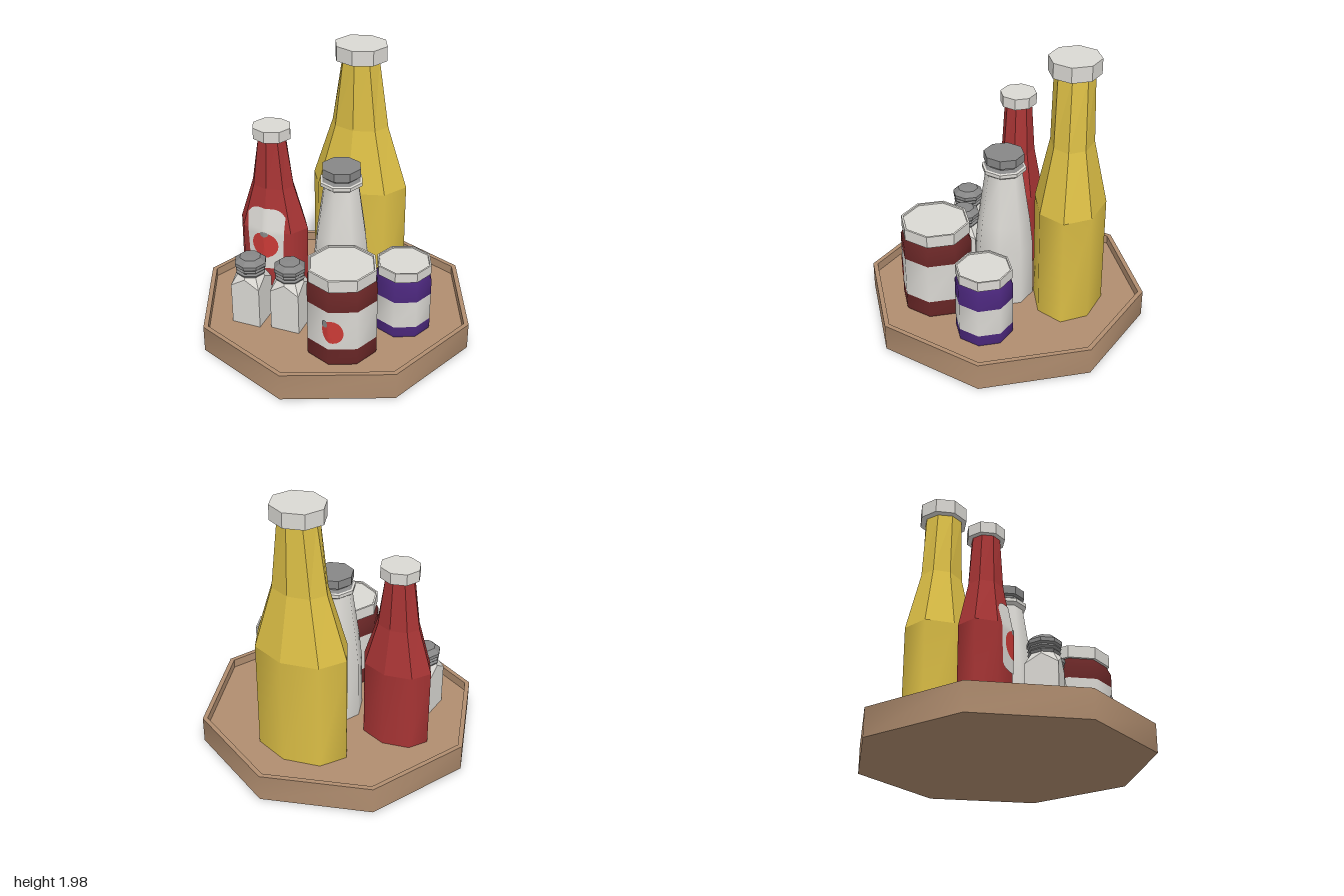
import * as THREE from 'three';

const mat = (name, color) => {
  const m = new THREE.MeshStandardMaterial({ color });
  m.name = name;
  return m;
};

export function createModel() {
  const wood = mat('wood', 0xb08d6f);
  const yellow = mat('mustard yellow', 0xdabd45);
  const red = mat('ketchup red', 0xa63434);
  const white = mat('white', 0xdad8d3);
  const grey = mat('metal grey', 0x878787);
  const darkRed = mat('jam red', 0x682626);
  const purple = mat('grape purple', 0x4b277c);
  const fruitRed = mat('fruit red', 0xc93a36);

  const FLOOR = 0.13;
  const model = new THREE.Group();
  model.name = 'condimentTray';

  const group = (name, x, z) => {
    const g = new THREE.Group();
    g.name = name;
    g.position.set(x, 0, z);
    model.add(g);
    return g;
  };
  const add = (parent, name, geometry, material) => {
    const mesh = new THREE.Mesh(geometry, material);
    mesh.name = name;
    parent.add(mesh);
    return mesh;
  };
  const flat = (geometry) => {
    const g = geometry.index ? geometry.toNonIndexed() : geometry;
    g.computeVertexNormals();
    return g;
  };

  // Eight-sided shell from rows of [y, rx, rz]; corners lie on the axes
  const shell = (rows) => {
    const pos = [], idx = [];
    rows.forEach(([y, rx, rz = rx]) => {
      for (let i = 0; i < 8; i++) {
        const a = (i * Math.PI) / 4;
        pos.push(rx * Math.sin(a), y, rz * Math.cos(a));
      }
    });
    for (let r = 0; r < rows.length - 1; r++) {
      for (let i = 0; i < 8; i++) {
        const a = r * 8 + i, b = r * 8 + ((i + 1) % 8);
        idx.push(a, b, b + 8, a, b + 8, a + 8);
      }
    }
    const g = new THREE.BufferGeometry();
    g.setAttribute('position', new THREE.Float32BufferAttribute(pos, 3));
    g.setIndex(idx);
    g.computeVertexNormals();
    return g;
  };
  const facets = (rows) => flat(shell(rows));

  // Lay a flat geometry (x, y) over the front of an eight-sided profile
  const wrap = (geometry, rows, offset) => {
    const p = geometry.attributes.position;
    for (let i = 0; i < p.count; i++) {
      const x = p.getX(i), y = p.getY(i);
      let k = 0;
      while (k < rows.length - 2 && y > rows[k + 1][0]) k++;
      const [y0, rx0, rz0 = rx0] = rows[k], [y1, rx1, rz1 = rx1] = rows[k + 1];
      const t = (y - y0) / (y1 - y0);
      const rx = rx0 + (rx1 - rx0) * t, rz = rz0 + (rz1 - rz0) * t;
      const s = Math.abs(x) / rx;
      const z = s < Math.SQRT1_2
        ? rz * (1 - s * (Math.SQRT2 - 1))
        : rz * (1 - s) * (Math.SQRT2 + 1);
      p.setZ(i, z + offset);
    }
    geometry.computeVertexNormals();
    return geometry;
  };
  const disc = (x, y, rx, ry, tilt = 0) =>
    new THREE.RingGeometry(0, 1, 20, 8).scale(rx, ry, 1).rotateZ(tilt).translate(x, y, 0);

  // Tray: outer wall, rim, inner wall, floor and underside
  const tray = group('tray', 0, 0);
  add(tray, 'trayWall', shell([[0, 1], [0.195, 1]]), wood);
  add(tray, 'trayRim', facets([[0.195, 1], [0.195, 0.965], [FLOOR, 0.965]]), wood);
  add(tray, 'trayFloor', facets([[FLOOR, 0.965], [FLOOR, 0]]), wood);
  add(tray, 'trayBottom', facets([[0, 0], [0, 1]]), wood);

  // Tall bottles: smooth body, faceted shoulder and neck, cap
  const bottle = (name, x, z, rows, cap, material) => {
    const g = group(name, x, z);
    add(g, 'body', shell(rows.slice(0, 2)), material);
    add(g, 'neck', facets(rows.slice(1)), material);
    const [y0, y1, rx, rz] = cap;
    add(g, 'cap', facets([[y0, 0, 0], [y0, rx, rz], [y1, rx, rz], [y1, 0, 0]]), white);
    return g;
  };
  bottle('mustardBottle', 0.01, -0.457,
    [[FLOOR, 0.357, 0.247], [0.93, 0.357, 0.247], [1.38, 0.21, 0.15], [1.88, 0.135, 0.137]],
    [1.87, 1.975, 0.19, 0.176], yellow);
  const ketchupRows = [[FLOOR, 0.26, 0.18], [0.71, 0.26, 0.18], [1.03, 0.158, 0.12], [1.4, 0.1, 0.097]];
  const ketchup = bottle('ketchupBottle', -0.475, -0.01, ketchupRows,
    [1.39, 1.47, 0.14, 0.131], red);

  // Ketchup label with an arched top, and its tomato
  const label = new THREE.PlaneGeometry(2, 1, 12, 24);
  const lp = label.attributes.position;
  for (let i = 0; i < lp.count; i++) {
    const u = lp.getX(i), v = lp.getY(i) + 0.5;
    const top = 0.89 - 0.06 * u ** 4, bottom = 0.42 + 0.03 * u ** 4;
    lp.setXY(i, u * (0.128 + 0.015 * v), bottom + (top - bottom) * v);
  }
  add(ketchup, 'label', wrap(label, ketchupRows, 0.005), white);
  add(ketchup, 'tomato', wrap(disc(0, 0.61, 0.1, 0.1), ketchupRows, 0.008), fruitRed);
  add(ketchup, 'tomatoStem', wrap(disc(0, 0.7, 0.032, 0.02), ketchupRows, 0.011), grey);

  // Pepper mill
  const mill = group('pepperMill', 0.045, 0);
  add(mill, 'body', shell([[FLOOR, 0.21], [0.55, 0.205], [0.75, 0.183], [1.12, 0.128]]), white);
  add(mill, 'collar', facets([[1.11, 0.12], [1.125, 0.14], [1.135, 0.154], [1.16, 0.154], [1.17, 0.11]]), white);
  add(mill, 'cap', facets([[1.165, 0.14], [1.18, 0.115], [1.195, 0.115], [1.2, 0.14],
    [1.26, 0.14], [1.26, 0]]), grey);

  // Square shakers with clipped shoulders and ridged lids
  const shaker = (name, x, z) => {
    const g = group(name, x, z);
    const body = shell([[FLOOR, 1], [0.43, 1], [0.525, 0.09]]);
    const p = body.attributes.position;
    for (let i = 0; i < 16; i++) {
      const corner = i % 2 === 1;
      const px = p.getX(i), pz = p.getZ(i);
      const sx = Math.abs(px) > 0.1 ? Math.sign(px) : 0;
      const sz = Math.abs(pz) > 0.1 ? Math.sign(pz) : 0;
      p.setXYZ(i, sx * 0.106, i < 8 ? FLOOR : corner ? 0.435 : 0.5, sz * 0.106);
    }
    add(g, 'body', flat(body), white);
    add(g, 'lid', facets([[0.505, 0.085], [0.515, 0.1], [0.53, 0.108], [0.542, 0.095], [0.555, 0.109],
      [0.568, 0.1], [0.58, 0.114], [0.605, 0.114], [0.638, 0.075], [0.642, 0]]), grey);
  };
  shaker('saltShaker', -0.487, 0.375);
  shaker('pepperShaker', -0.202, 0.345);

  // Jars: coloured foot, white label band, coloured shoulder, shallow recessed lid
  const jar = (name, x, z, r, low, high, bend, lidY, topY, lidR, material) => {
    const g = group(name, x, z);
    add(g, 'foot', shell([[FLOOR, r * 0.97], [FLOOR + 0.02, r], [low, r]]), material);
    add(g, 'labelBand', shell([[low, r], [high, r]]), white);
    add(g, 'upperBody', shell([[high, r], [bend, r], [lidY + 0.01, r * 0.86]]), material);
    add(g, 'lid', facets([[lidY, 0], [lidY, lidR], [topY, lidR], [topY, lidR * 0.94],
      [topY - 0.01, lidR * 0.93], [topY - 0.01, 0]]), white);
    return g;
  };
  const jam = jar('jamJar', 0.225, 0.45, 0.253, 0.26, 0.555, 0.645, 0.705, 0.79, 0.243, darkRed);
  jar('grapeJellyJar', 0.53, 0.05, 0.2, 0.215, 0.42, 0.53, 0.58, 0.65, 0.195, purple);

  // Strawberry on the jam label
  const jamRows = [[0, 0.253], [1, 0.253]];
  add(jam, 'strawberry', wrap(disc(0.025, 0.398, 0.07, 0.09, 0.3), jamRows, 0.005), fruitRed);
  add(jam, 'strawberryLeaf', wrap(disc(-0.025, 0.46, 0.022, 0.028), jamRows, 0.008), grey);

  return model;
}
